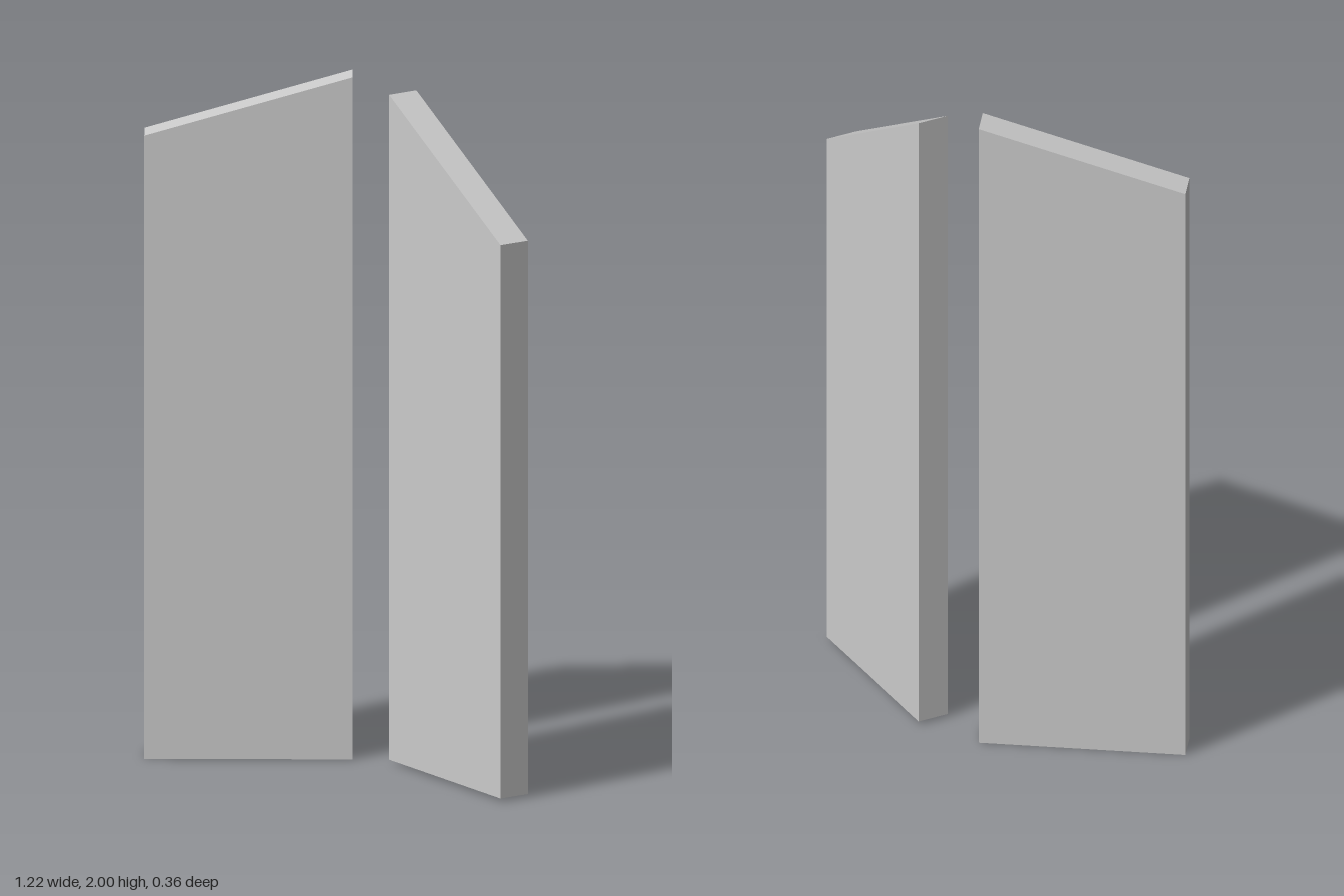
import * as THREE from 'three';

const material = new THREE.MeshStandardMaterial({ color: 0xcccccc, flatShading: true });

// Upright slab with a slanted top; its back face runs from (x0, z0) to (x1, z1) in plan
function slab(name, [x0, z0], [x1, z1], bottom, top0, top1, thickness) {
  const length = Math.hypot(x1 - x0, z1 - z0);
  const outline = new THREE.Shape([
    new THREE.Vector2(0, bottom),
    new THREE.Vector2(length, bottom),
    new THREE.Vector2(length, top1),
    new THREE.Vector2(0, top0),
  ]);
  const geometry = new THREE.ExtrudeGeometry(outline, { depth: thickness, bevelEnabled: false });
  const mesh = new THREE.Mesh(geometry, material);
  mesh.name = name;
  mesh.position.set(x0, 0, z0);
  mesh.rotation.y = -Math.atan2(z1 - z0, x1 - x0);
  return mesh;
}

export function createModel() {
  const model = new THREE.Group();
  model.name = 'twinSlabs';
  // Two slabs angled toward each other, tallest at the central gap
  model.add(slab('rightSlab', [-0.614, 0.091], [-0.084, -0.174], 0, 1.828, 2, 0.095));
  model.add(slab('leftSlab', [0.117, -0.18], [0.61, 0.088], 0.01, 1.96, 1.633, 0.094));
  return model;
}
